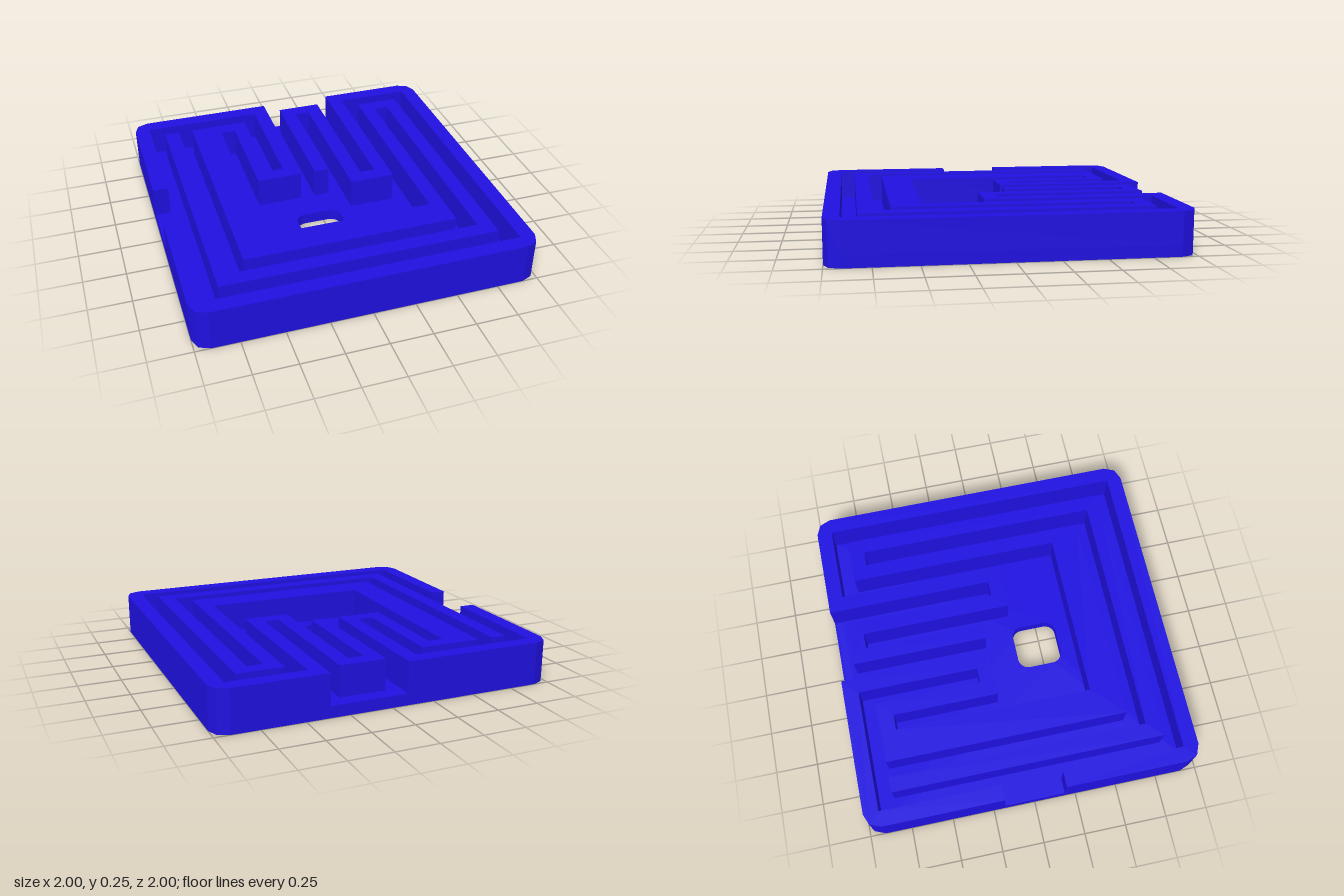
import * as THREE from 'three';

const U = 1 / 11;        // one maze grid cell
const FLOOR = 0.068;     // thickness of the floor plate
const HEIGHT = 0.25;     // overall height
const C = 10.707;        // middle point of each rounded outer corner

// Plan outlines in grid cells: [x, z]
const plateOutline = [
  [-11, -10], [-C, -C], [-10, -11], [10, -11], [C, -C], [11, -10],
  [11, 10], [C, C], [10, 11], [-10, 11], [-C, C], [-11, 10],
];

// Wall running from the side entrance round the back corner and spiralling inwards
const spiralOutline = [
  [-11, -2], [-11, -10], [-C, -C], [-10, -11], [-1, -11], [-1, -1], [-4, -1], [-4, -8],
  [-5, -8], [-5, 5], [6, 5], [6, -9], [9, -9], [9, 9], [-9, 9], [-9, -9], [-8, -9],
  [-8, 8], [8, 8], [8, -8], [7, -8], [7, 7], [-7, 7], [-7, -9], [-3, -9], [-3, -2],
  [-2, -2], [-2, -10], [-10, -10], [-10, -2],
];

// Wall running round the front and left sides, then folding in from the back
const outerOutline = [
  [-11, 2], [-10, 2], [-10, 10], [10, 10], [10, -10], [5, -10], [5, 1], [2, 1], [2, -9],
  [1, -9], [1, -1], [0, -1], [0, -10], [3, -10], [3, 0], [4, 0], [4, -11], [10, -11],
  [C, -C], [11, -10], [11, 10], [C, C], [10, 11], [-10, 11], [-C, C], [-11, 10],
];

const toShape = (cells) =>
  new THREE.Shape(cells.map(([x, z]) => new THREE.Vector2(x * U, z * U)));

// Rounded rectangular hole, in grid cells
function roundedHole(x0, z0, x1, z1, r) {
  const p = new THREE.Path();
  p.absarc((x1 - r) * U, (z1 - r) * U, r * U, 0, Math.PI / 2);
  p.absarc((x0 + r) * U, (z1 - r) * U, r * U, Math.PI / 2, Math.PI);
  p.absarc((x0 + r) * U, (z0 + r) * U, r * U, Math.PI, Math.PI * 1.5);
  p.absarc((x1 - r) * U, (z0 + r) * U, r * U, Math.PI * 1.5, Math.PI * 2);
  p.closePath();
  return p;
}

export function createModel() {
  const group = new THREE.Group();
  group.name = 'mazePlate';
  const material = new THREE.MeshStandardMaterial({ color: 0x1f10e0 });

  // Extrude a plan outline between two heights
  const addSlab = (name, shape, bottom, top) => {
    const geometry = new THREE.ExtrudeGeometry(shape, {
      depth: top - bottom, bevelEnabled: false, curveSegments: 8,
    });
    geometry.rotateX(Math.PI / 2).translate(0, top, 0);
    const mesh = new THREE.Mesh(geometry, material);
    mesh.name = name;
    group.add(mesh);
  };

  // Floor with the goal hole
  const plate = toShape(plateOutline);
  plate.holes.push(roundedHole(-2, 1, 1, 4, 0.7));
  addSlab('floorPlate', plate, 0, FLOOR);

  // Maze walls
  addSlab('spiralWall', toShape(spiralOutline), FLOOR, HEIGHT);
  addSlab('outerWall', toShape(outerOutline), FLOOR, HEIGHT);

  return group;
}
